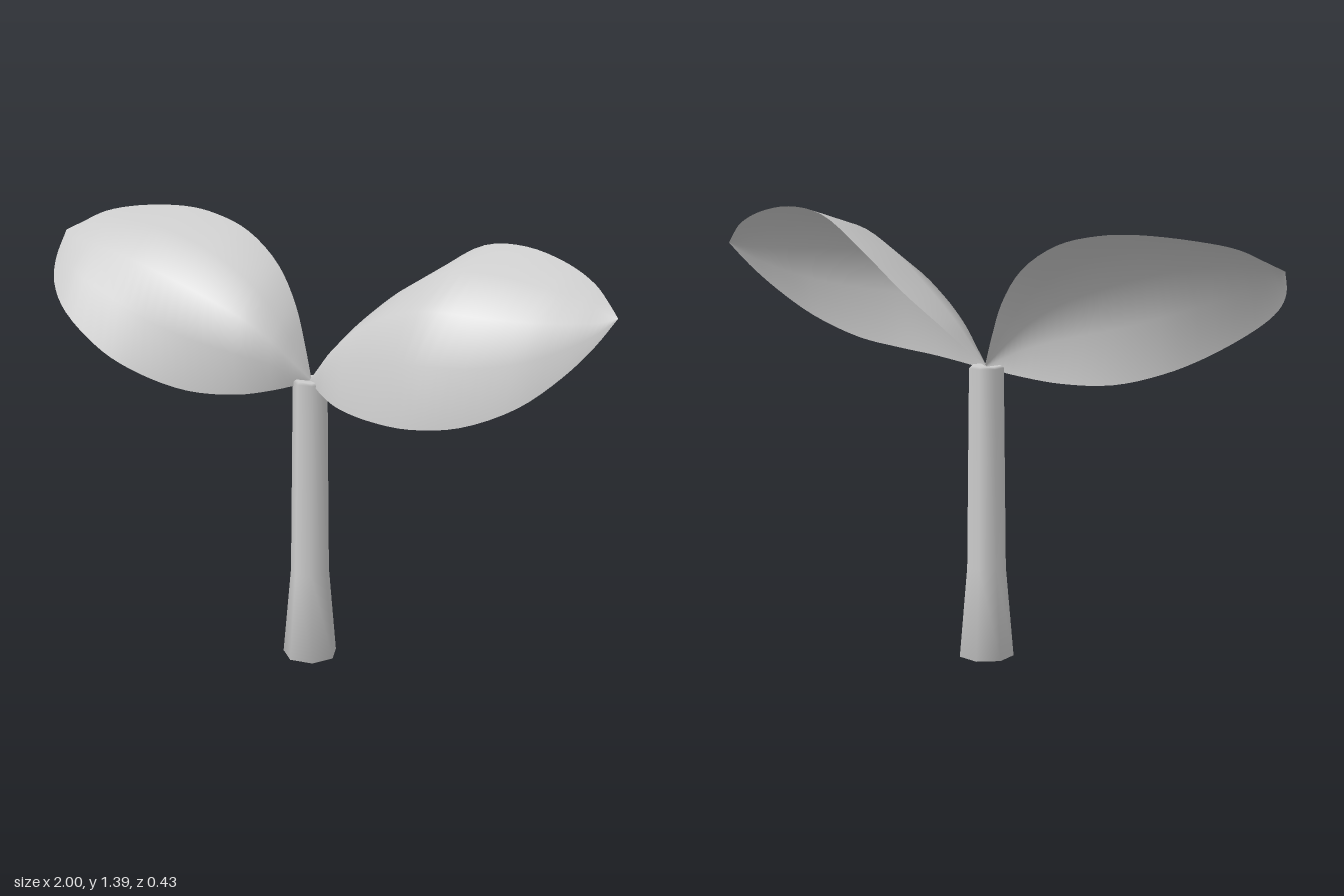
import * as THREE from 'three';

// Leaf edges from root to tip: [x, backY, backZ, frontY, frontZ]
const LEFT_LEAF = [
  [0, 0.925, -0.03, 0.915, -0.025],
  [0.04, 0.975, -0.075, 0.908, 0.005],
  [0.1, 1.05, -0.13, 0.905, 0.055],
  [0.2, 1.15, -0.183, 0.903, 0.122],
  [0.35, 1.283, -0.205, 0.908, 0.185],
  [0.5, 1.375, -0.192, 0.918, 0.21],
  [0.65, 1.395, -0.168, 0.945, 0.187],
  [0.8, 1.37, -0.14, 1.015, 0.132],
  [0.9, 1.33, -0.112, 1.105, 0.062],
  [0.96, 1.29, -0.08, 1.185, 0],
  [1, 1.26, -0.055, 1.26, -0.055],
];
const RIGHT_LEAF = [
  [0, 0.925, -0.03, 0.915, -0.025],
  [-0.04, 1.015, -0.055, 0.902, 0],
  [-0.1, 1.125, -0.092, 0.885, 0.038],
  [-0.2, 1.232, -0.14, 0.867, 0.09],
  [-0.35, 1.313, -0.187, 0.868, 0.145],
  [-0.5, 1.347, -0.213, 0.908, 0.19],
  [-0.63, 1.355, -0.22, 0.966, 0.214],
  [-0.8, 1.342, -0.19, 1.062, 0.188],
  [-0.9, 1.32, -0.14, 1.13, 0.125],
  [-0.96, 1.285, -0.09, 1.19, 0.045],
  [-1, 1.26, -0.055, 1.26, -0.055],
];

// Thin leaf: four-facet sections, arched most near the root and flatter at the tip
function leafGeometry(rows, rootBulge, tipBulge, along = 40, across = 4) {
  const back = new THREE.CatmullRomCurve3(rows.map(([x, y, z]) => new THREE.Vector3(x, y, z)));
  const front = new THREE.CatmullRomCurve3(rows.map(([x, , , y, z]) => new THREE.Vector3(x, y, z)));
  const positions = [];
  const index = [];
  for (let i = 0; i <= along; i++) {
    const a = back.getPoint(i / along);
    const b = front.getPoint(i / along);
    const bulge = THREE.MathUtils.lerp(rootBulge, tipBulge, i / along);
    for (let j = 0; j <= across; j++) {
      const u = j / across;
      const arch = bulge * 4 * u * (1 - u);
      const p = a.clone().lerp(b, u);
      positions.push(p.x, p.y + (b.z - a.z) * arch, p.z + (a.y - b.y) * arch);
      if (i < along && j < across) {
        const k = i * (across + 1) + j;
        const n = k + across + 1;
        // Keep the upper side as the front on both leaves
        if (rows[rows.length - 1][0] > 0) index.push(k, k + 1, n, k + 1, n + 1, n);
        else index.push(k, n, k + 1, k + 1, n, n + 1);
      }
    }
  }
  const geometry = new THREE.BufferGeometry();
  geometry.setAttribute('position', new THREE.Float32BufferAttribute(positions, 3));
  geometry.setIndex(index);
  geometry.computeVertexNormals();
  return geometry;
}

export function createModel() {
  const group = new THREE.Group();
  group.name = 'sprout';
  const grey = new THREE.MeshStandardMaterial({ color: 0xcccccc, side: THREE.DoubleSide });
  grey.name = 'light grey';

  // Seven-sided stem with a flared foot
  const profile = [[0, 0], [0.087, 0.004], [0.062, 0.29], [0.055, 0.916], [0.047, 0.923], [0, 0.918]]
    .map(([r, y]) => new THREE.Vector2(r, y));
  const stem = new THREE.Mesh(new THREE.LatheGeometry(profile, 7, Math.PI / 2), grey);
  stem.name = 'stem';
  stem.position.z = -0.025;
  group.add(stem);

  // Pair of leaves
  for (const [name, rows, rootBulge, tipBulge] of [
    ['leftLeaf', LEFT_LEAF, 0.38, 0.1],
    ['rightLeaf', RIGHT_LEAF, 0.34, 0.07],
  ]) {
    const leaf = new THREE.Mesh(leafGeometry(rows, rootBulge, tipBulge), grey);
    leaf.name = name;
    group.add(leaf);
  }
  return group;
}
